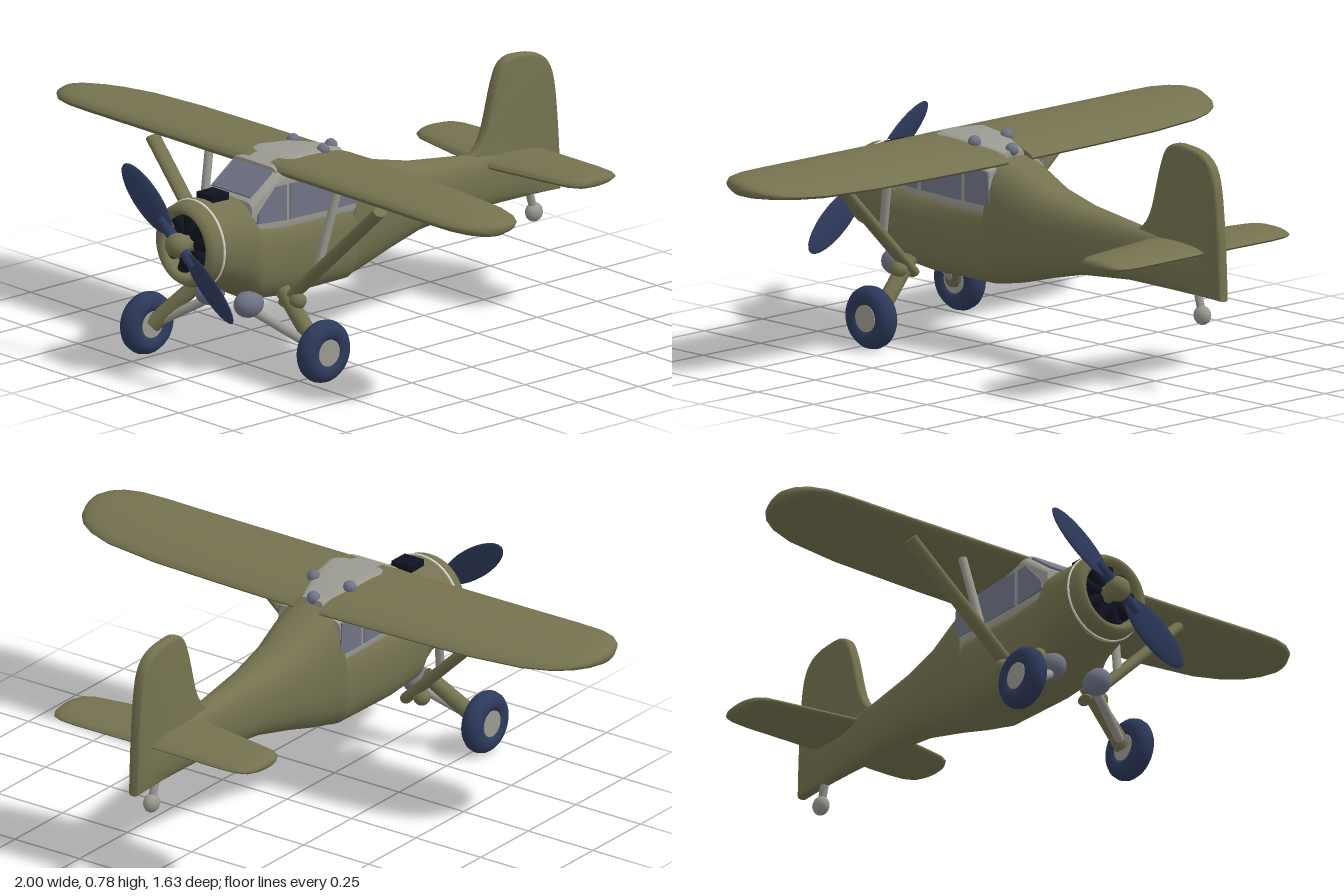
import * as THREE from 'three';
import { toCreasedNormals } from 'three/addons/utils/BufferGeometryUtils.js';

const material = (name, color) => Object.assign(new THREE.MeshStandardMaterial({ color }), { name });
const V = (x, y, z) => new THREE.Vector3(x, y, z);

// Skin closed rings of points and cap both ends; faces always point outwards.
function loft(rings, crease = 0.7) {
  const n = rings[0].length, pos = [], idx = [];
  rings.forEach(r => r.forEach(p => pos.push(p.x, p.y, p.z)));
  for (let i = 0; i < rings.length - 1; i++) {
    for (let j = 0; j < n; j++) {
      const a = i * n + j, b = i * n + (j + 1) % n;
      idx.push(a, b, a + n, b, b + n, a + n);
    }
  }
  const last = (rings.length - 1) * n;
  for (let j = 1; j < n - 1; j++) idx.push(0, j + 1, j, last, last + j, last + j + 1);
  let volume = 0;
  const at = i => V(pos[i * 3], pos[i * 3 + 1], pos[i * 3 + 2]);
  for (let i = 0; i < idx.length; i += 3) volume += at(idx[i]).dot(at(idx[i + 1]).cross(at(idx[i + 2])));
  if (volume < 0) idx.reverse();
  const g = new THREE.BufferGeometry();
  g.setAttribute('position', new THREE.Float32BufferAttribute(pos, 3));
  g.setIndex(idx);
  return toCreasedNormals(g, crease);
}

// Rounded upright section: z, half width, top, bottom, squareness.
function hullRing([z, w, top, bottom, e = 2], n = 32) {
  const pw = v => Math.sign(v) * Math.pow(Math.abs(v), 2 / e);
  return Array.from({ length: n }, (_, i) => {
    const t = (i / n) * Math.PI * 2;
    return V(w * pw(Math.cos(t)), (top + bottom) / 2 + (top - bottom) / 2 * pw(Math.sin(t)), z);
  });
}

// Aerofoil section: x, leading edge z, trailing edge z, thickness.
function foilRing([x, front, back, thick], midY, n = 24) {
  return Array.from({ length: n }, (_, i) => {
    const t = (i / n) * Math.PI * 2;
    const z = (front + back) / 2 + (front - back) / 2 * Math.cos(t);
    return V(x, midY(z) + thick / 2 * Math.sin(t) * (1 + 0.15 * Math.cos(t)), z);
  });
}

export function createModel() {
  const model = new THREE.Group();
  model.name = 'highWingAirplane';
  const olive = material('olive paint', 0x74724f);
  const navy = material('navy rubber', 0x2e3a5c);
  const grey = material('light grey', 0x9b9a92);
  const glass = material('blue grey glass', 0x717487);
  const dark = material('dark opening', 0x10121f);
  const white = material('white trim', 0xdcdad0);

  const add = (name, geometry, mat, x = 0, y = 0, z = 0, parent = model) => {
    const m = new THREE.Mesh(geometry, mat);
    m.name = name;
    m.position.set(x, y, z);
    parent.add(m);
    return m;
  };
  const rod = (name, a, b, r, mat, r2 = r, flat = 1) => {
    const m = add(name, new THREE.CylinderGeometry(r2, r, a.distanceTo(b), 14), mat);
    m.position.copy(a).add(b).multiplyScalar(0.5);
    m.quaternion.setFromUnitVectors(V(0, 1, 0), b.clone().sub(a).normalize());
    m.scale.z = flat;
    return m;
  };

  // Fuselage, lowered under the cabin
  add('fuselage', loft([
    [0.7, 0.137, 0.58, 0.3], [0.6, 0.14, 0.575, 0.27, 2.3], [0.565, 0.14, 0.57, 0.25, 2.5],
    [0.54, 0.14, 0.51, 0.235, 3], [0.4, 0.138, 0.5, 0.22, 3], [0.15, 0.13, 0.5, 0.22, 3],
    [0.13, 0.127, 0.625, 0.222, 3], [0.06, 0.115, 0.605, 0.235, 2.8], [-0.05, 0.1, 0.555, 0.265, 2.6],
    [-0.2, 0.077, 0.52, 0.3, 2.5], [-0.4, 0.052, 0.495, 0.315, 2.5], [-0.6, 0.032, 0.475, 0.312, 2.5],
    [-0.79, 0.014, 0.45, 0.307, 2.5]].map(s => hullRing(s))), olive);

  // Engine cowl, opening and radial cylinders
  const cowl = new THREE.Group();
  cowl.name = 'engineCowl';
  cowl.position.y = 0.443;
  model.add(cowl);
  const cowlProfile = [[0.139, 0.68], [0.139, 0.715], [0.134, 0.745], [0.124, 0.762], [0.11, 0.763], [0.1, 0.75], [0.098, 0.7]];
  add('cowlRing', new THREE.LatheGeometry(cowlProfile.map(p => new THREE.Vector2(...p)), 40), olive, 0, 0, 0, cowl)
    .rotation.x = Math.PI / 2;
  olive.side = THREE.DoubleSide;
  add('cowlOpening', new THREE.CircleGeometry(0.102, 32), dark, 0, 0, 0.712, cowl);
  for (let i = 0; i < 9; i++) {
    const a = i / 9 * Math.PI * 2;
    add('engineCylinder', new THREE.CylinderGeometry(0.02, 0.02, 0.06, 10), dark,
      -Math.sin(a) * 0.065, Math.cos(a) * 0.065, 0.728, cowl).rotation.z = a;
  }
  add('cowlStripe', new THREE.TorusGeometry(0.139, 0.004, 8, 48), white, 0, 0, 0.71, cowl);
  add('airIntake', new THREE.BoxGeometry(0.075, 0.025, 0.07), dark, 0, 0.582, 0.635);

  // Propeller
  const propeller = new THREE.Group();
  propeller.name = 'propeller';
  propeller.position.set(0, 0.455, 0.78);
  propeller.rotation.z = -0.66;
  model.add(propeller);
  for (const s of [-1, 1]) {
    const blade = add('propellerBlade', new THREE.SphereGeometry(1, 24, 14), navy, s * 0.185, 0, 0, propeller);
    blade.scale.set(0.14, 0.05, 0.009);
    blade.rotation.x = s * 0.2;
    const shank = add('bladeShank', new THREE.CylinderGeometry(0.018, 0.018, 0.1, 12), navy, s * 0.05, 0, 0, propeller);
    shank.rotation.z = Math.PI / 2;
  }
  add('spinner', new THREE.SphereGeometry(0.04, 20, 14), olive, 0, 0.45, 0.782);
  rod('propellerShaft', V(0, 0.45, 0.7), V(0, 0.45, 0.78), 0.028, olive);

  // Cabin frame, roof and glazing
  add('cabinFrame', loft([[0.57, 0.112, 0.568, 0.44, 7], [0.45, 0.118, 0.652, 0.44, 8], [0.25, 0.12, 0.635, 0.44, 8],
    [0.12, 0.12, 0.6, 0.44, 7]].map(s => hullRing(s, 40))), grey);
  add('cabinRoof', loft([[0.46, 0.1, 0.657, 0.6, 6], [0.36, 0.104, 0.678, 0.6, 6], [0.25, 0.085, 0.67, 0.6, 6],
    [0.13, 0.042, 0.643, 0.58, 6]].map(s => hullRing(s))), grey);
  add('windscreen', new THREE.BoxGeometry(0.175, 0.008, 0.115), glass, 0, 0.612, 0.511).rotation.x = 0.61;
  const panes = [
    [[0.555, 0.5], [0.55, 0.53], [0.475, 0.605], [0.435, 0.605], [0.435, 0.49]],
    [[0.42, 0.49], [0.42, 0.605], [0.24, 0.605], [0.24, 0.485]],
    [[0.225, 0.485], [0.225, 0.605], [0.125, 0.592], [0.115, 0.485]]];
  for (const s of [-1, 1]) {
    for (const p of panes) {
      const shape = new THREE.Shape(p.map(q => new THREE.Vector2(...q)));
      add('sideWindow', new THREE.ExtrudeGeometry(shape, { depth: 0.008, bevelEnabled: false }), glass, s * 0.119 + 0.004)
        .rotation.y = -Math.PI / 2;
    }
  }
  for (const [x, y, z] of [[0, 0.645, 0.14], [0.07, 0.665, 0.235], [-0.07, 0.665, 0.235]]) {
    add('roofBump', new THREE.SphereGeometry(0.021, 14, 10), glass, x, y, z);
  }

  // Wings
  const wing = [[0.05, 0.455, 0.1, 0.066], [0.3, 0.455, 0.105, 0.066], [0.6, 0.457, 0.115, 0.064], [0.8, 0.46, 0.14, 0.06],
    [0.89, 0.457, 0.172, 0.057], [0.94, 0.442, 0.205, 0.054], [0.975, 0.415, 0.245, 0.048],
    [0.993, 0.38, 0.285, 0.038], [1, 0.35, 0.315, 0.015]];
  const tail = [[0, -0.475, -0.735, 0.045], [0.28, -0.522, -0.738, 0.042], [0.34, -0.533, -0.733, 0.04],
    [0.37, -0.55, -0.72, 0.035], [0.385, -0.575, -0.695, 0.025], [0.39, -0.61, -0.66, 0.01]];
  for (const s of [-1, 1]) {
    const side = s > 0 ? 'left' : 'right';
    const flip = ([x, ...rest]) => [s * x, ...rest];
    add(side + 'Wing', loft(wing.map(w => foilRing(flip(w), z => 0.607 + 0.09 * z)), 1), olive);
    add(side + 'Tailplane', loft(tail.map(w => foilRing(flip(w), () => 0.452)), 1), olive);

    // Wing bracing
    rod(side + 'WingStrut', V(s * 0.13, 0.225, 0.45), V(s * 0.53, 0.605, 0.41), 0.018, olive, 0.018, 1.5);
    rod(side + 'BraceStrut', V(s * 0.27, 0.36, 0.44), V(s * 0.3, 0.62, 0.38), 0.014, grey);
    add(side + 'StrutJoint', new THREE.SphereGeometry(0.028, 14, 10), olive, s * 0.19, 0.245, 0.45);

    // Landing gear, each wheel at its own place
    const hub = s > 0 ? V(0.31, 0.108, 0.45) : V(-0.28, 0.108, 0.66);
    const inner = hub.clone().add(V(-s * 0.025, 0, 0));
    rod(side + 'GearLeg', V(s * 0.13, 0.27, s > 0 ? 0.46 : 0.55), inner, 0.025, olive, 0.028);
    rod(side + 'GearBrace', V(s * 0.08, 0.22, 0.56), inner, 0.015, grey);
    const ball = add(side + 'GearFairing', new THREE.SphereGeometry(0.043, 18, 12), glass, s * 0.09, 0.235, 0.565);
    ball.scale.z = 1.2;
    add(side + 'Tyre', new THREE.TorusGeometry(0.066, 0.035, 14, 32), navy, hub.x, hub.y, hub.z).rotation.y = Math.PI / 2;
    add(side + 'WheelHub', new THREE.CylinderGeometry(0.043, 0.043, 0.058, 24), grey, hub.x, hub.y, hub.z)
      .rotation.z = Math.PI / 2;
  }

  // Fin and rudder
  const fin = new THREE.Shape();
  fin.moveTo(-0.42, 0.47);
  fin.bezierCurveTo(-0.52, 0.5, -0.51, 0.62, -0.555, 0.73);
  fin.bezierCurveTo(-0.575, 0.785, -0.62, 0.775, -0.68, 0.768);
  fin.bezierCurveTo(-0.755, 0.755, -0.77, 0.71, -0.78, 0.63);
  fin.quadraticCurveTo(-0.795, 0.5, -0.8, 0.318);
  fin.lineTo(-0.66, 0.325);
  const finGeometry = new THREE.ExtrudeGeometry(fin, {
    depth: 0.014, bevelThickness: 0.012, bevelSize: 0.01, bevelSegments: 3, curveSegments: 12 });
  add('tailFin', toCreasedNormals(finGeometry, 0.7), olive, 0.007).rotation.y = -Math.PI / 2;

  // Tail wheel
  rod('tailWheelStrut', V(0, 0.25, -0.71), V(0, 0.32, -0.69), 0.013, grey);
  add('tailWheel', new THREE.SphereGeometry(0.031, 16, 12), grey, 0, 0.25, -0.71).scale.x = 0.8;

  return model;
}
